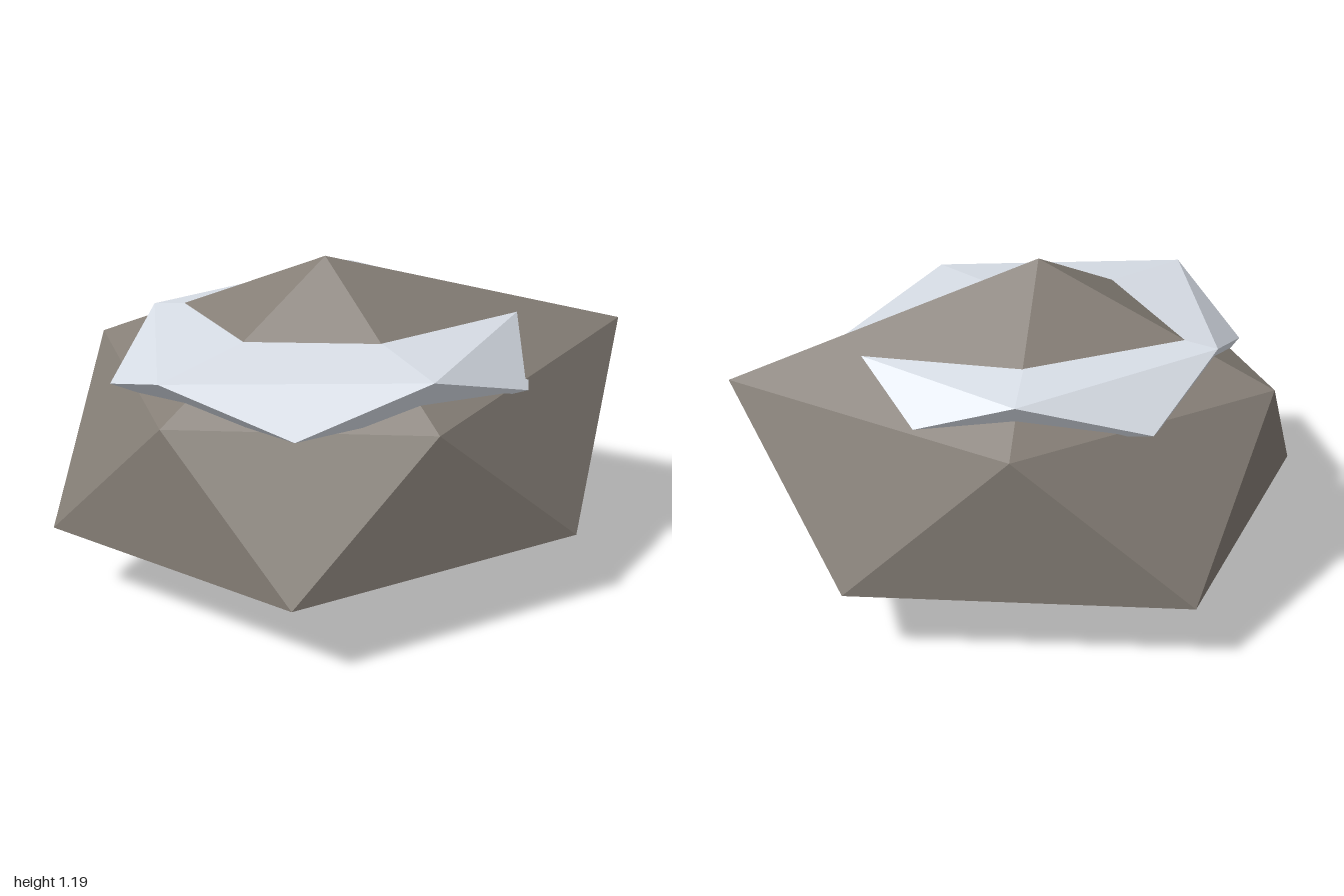
import * as THREE from 'three';

// Faceted 20-sided lump: a top point, two staggered five-point rings and a bottom point.
// Ring points run from +x towards +z; lower[i] sits between upper[i] and upper[i + 1].
function lump(name, material, top, upper, lower, bottom) {
  const positions = [];
  const face = (...corners) => corners.forEach((c) => positions.push(...c));
  for (let i = 0; i < 5; i++) {
    const j = (i + 1) % 5;
    face(top, upper[j], upper[i]);
    face(upper[i], upper[j], lower[i]);
    face(lower[i], upper[j], lower[j]);
    face(bottom, lower[i], lower[j]);
  }
  const geometry = new THREE.BufferGeometry();
  geometry.setAttribute('position', new THREE.Float32BufferAttribute(positions, 3));
  geometry.computeVertexNormals();
  const mesh = new THREE.Mesh(geometry, material);
  mesh.name = name;
  return mesh;
}

export function createModel() {
  const stone = new THREE.MeshStandardMaterial({ color: 0x857e76 });
  stone.name = 'stone';
  stone.flatShading = true;
  const snow = new THREE.MeshStandardMaterial({ color: 0xdfe5ee });
  snow.name = 'snow';
  snow.flatShading = true;

  const model = new THREE.Group();
  model.name = 'snowyRock';

  // Boulder
  model.add(lump('boulder', stone,
    [-0.05, 1.19, 0.04],
    [[1, 0.87, 0.04], [0.18, 0.785, 0.63], [-0.67, 0.8, 0.41], [-0.75, 0.82, -0.38], [0.21, 0.81, -0.61]],
    [[0.71, 0.29, 0.5], [-0.33, 0.3, 0.77], [-1, 0.29, 0.04], [-0.37, 0.27, -0.77], [0.73, 0.28, -0.43]],
    [-0.05, 0, 0.04]));

  // Flattened snow cap, with the boulder's peak poking through it
  model.add(lump('snowCap', snow,
    [-0.05, 1.03, 0.04],
    [[0.66, 0.955, 0.04], [0.17, 0.95, 0.59], [-0.67, 0.955, 0.41], [-0.58, 0.945, -0.28], [0.17, 0.95, -0.52]],
    [[0.55, 0.8, 0.4], [-0.28, 0.805, 0.61], [-0.78, 0.805, 0.04], [-0.28, 0.8, -0.54], [0.57, 0.8, -0.33]],
    [-0.05, 0.72, 0.04]));

  return model;
}
